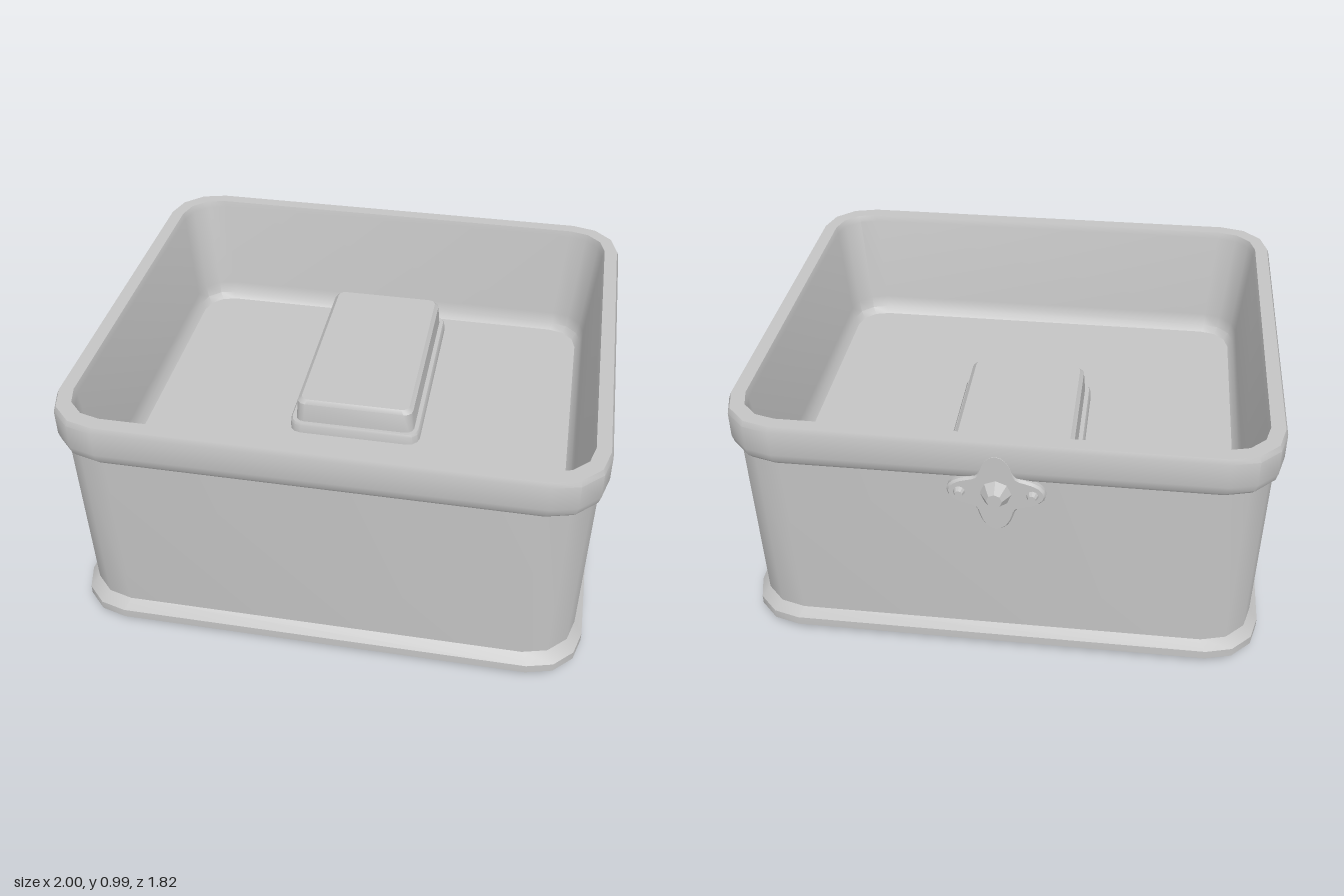
import * as THREE from 'three';
import { toCreasedNormals } from 'three/addons/utils/BufferGeometryUtils.js';

const grey = new THREE.MeshStandardMaterial({ color: 0xc4c4c4 });
grey.name = 'grey';

// Outline of a rounded rectangle at height y, each corner made of a few straight steps
function outline([hx, zBack, zFront, r, y], steps = 3) {
  const cz = (zBack + zFront) / 2, hz = (zFront - zBack) / 2, pts = [];
  [[1, 1], [-1, 1], [-1, -1], [1, -1]].forEach(([sx, sz], q) => {
    for (let i = 0; i <= steps; i++) {
      const a = (q + i / steps) * Math.PI / 2;
      pts.push([sx * (hx - r) + r * Math.cos(a), y, cz + sz * (hz - r) + r * Math.sin(a)]);
    }
  });
  return pts;
}

// Skin a stack of rounded rectangles, optionally closing the first or last one
function loft(name, sections, { capStart = false, capEnd = false } = {}) {
  const rings = sections.map(s => outline(s)), n = rings[0].length;
  const pos = rings.flat(2), index = [];
  const cap = (k, flip) => {
    const [, zb, zf, , y] = sections[k], c = pos.length / 3;
    pos.push(0, y, (zb + zf) / 2);
    for (let j = 0; j < n; j++) {
      const a = k * n + j, b = k * n + (j + 1) % n;
      index.push(c, flip ? b : a, flip ? a : b);
    }
  };
  for (let k = 0; k < rings.length - 1; k++) {
    for (let j = 0; j < n; j++) {
      const a = k * n + j, b = k * n + (j + 1) % n, c = b + n, d = a + n;
      index.push(a, c, b, a, d, c);
    }
  }
  if (capStart) cap(0, false);
  if (capEnd) cap(rings.length - 1, true);
  const geo = new THREE.BufferGeometry();
  geo.setAttribute('position', new THREE.Float32BufferAttribute(pos, 3));
  geo.setIndex(index);
  return solid(name, geo, 0.6);
}

function solid(name, geo, crease) {
  const mesh = new THREE.Mesh(toCreasedNormals(geo, crease), grey);
  mesh.name = name;
  return mesh;
}

// Clasp: four-lobed plate, tapered knob and two rivets, facing +z
function createClasp() {
  const clasp = new THREE.Group();
  clasp.name = 'clasp';
  const pts = [];
  for (let i = 0; i < 48; i++) {
    const a = i / 48 * Math.PI * 2, r = 0.137 + 0.035 * Math.cos(4 * a);
    pts.push(new THREE.Vector2(r * Math.cos(a) * 1.03, r * Math.sin(a) * 0.97));
  }
  const plate = solid('claspPlate', new THREE.ExtrudeGeometry(new THREE.Shape(pts), {
    depth: 0.036, bevelEnabled: true, bevelThickness: 0.01, bevelSize: 0.007, bevelOffset: -0.007, bevelSegments: 1,
  }), 0.5);
  clasp.add(plate);

  const stud = (name, x, rTop, rBase, zFrom, zTo, sides) => {
    const geo = new THREE.CylinderGeometry(rTop, rBase, zTo - zFrom, sides).rotateX(Math.PI / 2);
    const mesh = solid(name, geo, 0.5);
    mesh.position.set(x, 0, (zFrom + zTo) / 2);
    clasp.add(mesh);
  };
  stud('claspKnob', 0, 0.028, 0.06, 0.04, 0.09, 8);
  for (const side of [-1, 1]) stud('claspRivet', side * 0.13, 0.014, 0.024, 0.04, 0.065, 10);

  clasp.rotation.y = Math.PI;
  clasp.position.set(0, 0.77, -0.82);
  return clasp;
}

export function createModel() {
  const model = new THREE.Group();
  model.name = 'openBox';

  // Sections are: half width, back z, front z, corner radius, height
  const footTop = [0.96, -0.83, 0.865, 0.19, 0.105];
  const bodyTop = [0.972, -0.84, 0.878, 0.19, 0.82];
  const rimInner = [0.94, -0.805, 0.84, 0.15, 0.985];

  model.add(loft('baseMoulding', [
    [0.93, -0.79, 0.835, 0.18, 0],
    [0.992, -0.857, 0.9, 0.2, 0.033],
    [0.992, -0.857, 0.9, 0.2, 0.068],
    footTop,
  ], { capStart: true }));

  model.add(loft('body', [footTop, bodyTop]));

  model.add(loft('rim', [
    bodyTop,
    [0.98, -0.846, 0.886, 0.19, 0.822],
    [0.992, -0.858, 0.898, 0.195, 0.838],
    [1, -0.865, 0.905, 0.2, 0.868],
    [1, -0.865, 0.905, 0.2, 0.965],
    [0.992, -0.857, 0.897, 0.195, 0.985],
    rimInner,
  ]));

  // Tapered inner walls, rounded into a raised floor
  model.add(loft('interior', [
    rimInner,
    [0.932, -0.8, 0.832, 0.15, 0.96],
    [0.895, -0.765, 0.805, 0.14, 0.58],
    [0.885, -0.755, 0.793, 0.13, 0.53],
    [0.865, -0.735, 0.77, 0.12, 0.505],
  ], { capEnd: true }));

  // Raised block on a stepped flange
  const flangeTop = [0.245, -0.67, 0.19, 0.035, 0.55];
  model.add(loft('blockFlange', [
    [0.27, -0.69, 0.21, 0.05, 0.5],
    [0.268, -0.688, 0.208, 0.05, 0.54],
    [0.262, -0.683, 0.203, 0.045, 0.55],
    flangeTop,
  ]));
  model.add(loft('block', [
    flangeTop,
    [0.238, -0.668, 0.186, 0.035, 0.635],
    [0.222, -0.656, 0.174, 0.03, 0.652],
  ], { capEnd: true }));

  model.add(createClasp());
  return model;
}
